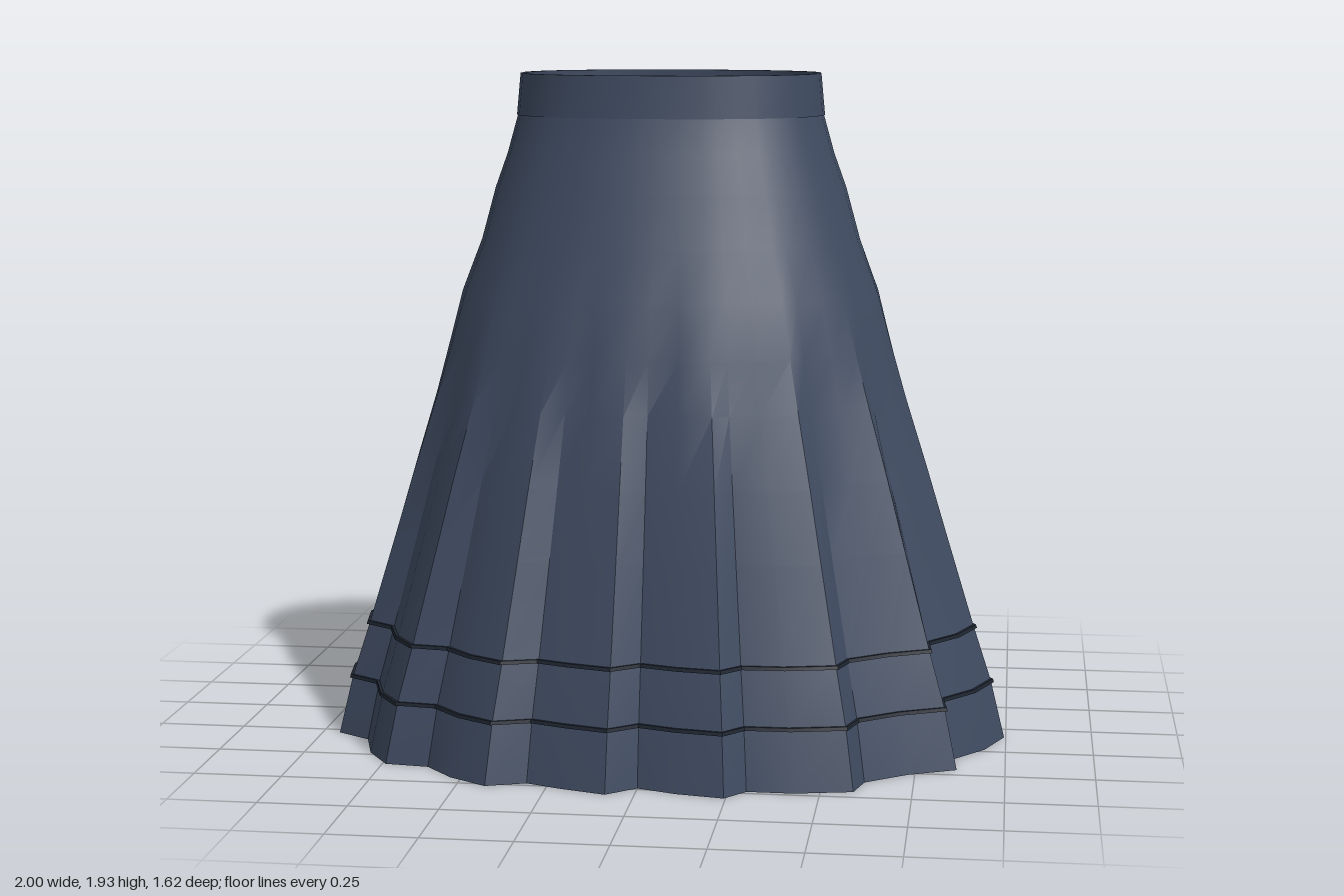
import * as THREE from 'three';
import { mergeVertices, toCreasedNormals } from 'three/addons/utils/BufferGeometryUtils.js';

// Hem outline seen from above (x, z): valley, fold tip and panel middle of each pleat
const HEM = [
  [0, -.75], [.08, -.815], [.19, -.78], [.31, -.735], [.41, -.78], [.57, -.70], [.60, -.62], [.73, -.61],
  [.81, -.50], [.845, -.36], [.95, -.30], [.96, -.16], [.935, -.01], [.995, .09], [.94, .23], [.85, .345],
  [.865, .45], [.73, .515], [.615, .605], [.59, .70], [.43, .735], [.30, .735], [.245, .805], [.11, .78],
  [0, .74], [-.08, .81], [-.21, .77], [-.31, .73], [-.42, .77], [-.53, .70], [-.615, .605], [-.74, .59],
  [-.81, .48], [-.85, .345], [-.95, .28], [-.97, .14], [-.935, -.01], [-1, -.105], [-.94, -.23], [-.85, -.355],
  [-.86, -.475], [-.74, -.55], [-.60, -.62], [-.58, -.715], [-.45, -.74], [-.30, -.74], [-.24, -.815], [-.10, -.79],
];

// Flare of the skirt: height, blend from waist (0) to hem (1)
const FLARE = [
  [1.93, -.02], [1.81, 0], [1.7, .06], [1.6, .13], [1.45, .21], [1.3, .32], [1.15, .39],
  [1, .46], [.8, .57], [.6, .68], [.33, .83], [.17, .925], [0, 1],
];

function flareAt(y) {
  for (let i = 1; i < FLARE.length; i++) {
    const [y0, t0] = FLARE[i - 1], [y1, t1] = FLARE[i];
    if (y >= y1) return t0 + (t1 - t0) * (y0 - y) / (y0 - y1);
  }
  return 1;
}

// Rounded oval point at an angle
function oval(phi, a, b, n = 2.3) {
  const power = (v) => Math.sign(v) * Math.abs(v) ** (2 / n);
  return [a * power(Math.cos(phi)), b * power(Math.sin(phi))];
}

// Point of the cloth in one column, at a height, pushed outward by an offset
function clothPoint([hx, hz], y, offset) {
  const phi = Math.atan2(hz / .77, hx / .95);
  const waist = oval(phi, .445, .335);
  const smoothHem = oval(phi, .96, .775, 2.05);
  const pleat = 1 - THREE.MathUtils.smoothstep(y, .85, 1.5);
  const t = flareAt(y);
  const x = waist[0] + t * (THREE.MathUtils.lerp(smoothHem[0], hx, pleat) - waist[0]);
  const z = waist[1] + t * (THREE.MathUtils.lerp(smoothHem[1], hz, pleat) - waist[1]);
  const k = 1 + offset / Math.hypot(x, z);
  return [x * k, y, z * k];
}

// Surface through rings given as [height, offset], from bottom to top on the outside
function loft(rings, crease) {
  const positions = [], index = [], n = HEM.length;
  for (const [y, offset] of rings) for (const h of HEM) positions.push(...clothPoint(h, y, offset));
  for (let r = 0; r < rings.length - 1; r++) {
    for (let i = 0; i < n; i++) {
      const a = r * n + i, b = r * n + (i + 1) % n, c = a + n, d = b + n;
      index.push(a, c, b, b, c, d);
    }
  }
  const geometry = new THREE.BufferGeometry();
  geometry.setAttribute('position', new THREE.Float32BufferAttribute(positions, 3));
  geometry.setIndex(index);
  return toCreasedNormals(mergeVertices(geometry), crease);
}

export function createModel() {
  const group = new THREE.Group();
  group.name = 'pleatedSkirt';

  const cloth = new THREE.MeshStandardMaterial({ color: 0x3f4b61, side: THREE.DoubleSide });
  cloth.name = 'navyCloth';
  const trim = new THREE.MeshStandardMaterial({ color: 0x1e2530, side: THREE.DoubleSide });
  trim.name = 'darkTrim';

  const add = (name, rings, material, crease = .5) => {
    const mesh = new THREE.Mesh(loft(rings, crease), material);
    mesh.name = name;
    group.add(mesh);
  };

  // Pleated body, open at hem and waist
  const rows = FLARE.slice(1).reverse().map(([y]) => [y, 0]);
  add('skirtBody', rows, cloth);

  // Waistband with a little thickness
  add('waistband', [[1.81, -.01], [1.81, .003], [1.93, .002], [1.93, -.01], [1.81, -.01]], cloth, .7);

  // Two narrow ribs stitched around the hem
  [.33, .17].forEach((y, i) => {
    const h = .005;
    add(i ? 'lowerHemRib' : 'upperHemRib', [[y - h, 0], [y - h, .008], [y + h, .008], [y + h, 0]], trim);
  });

  return group;
}
